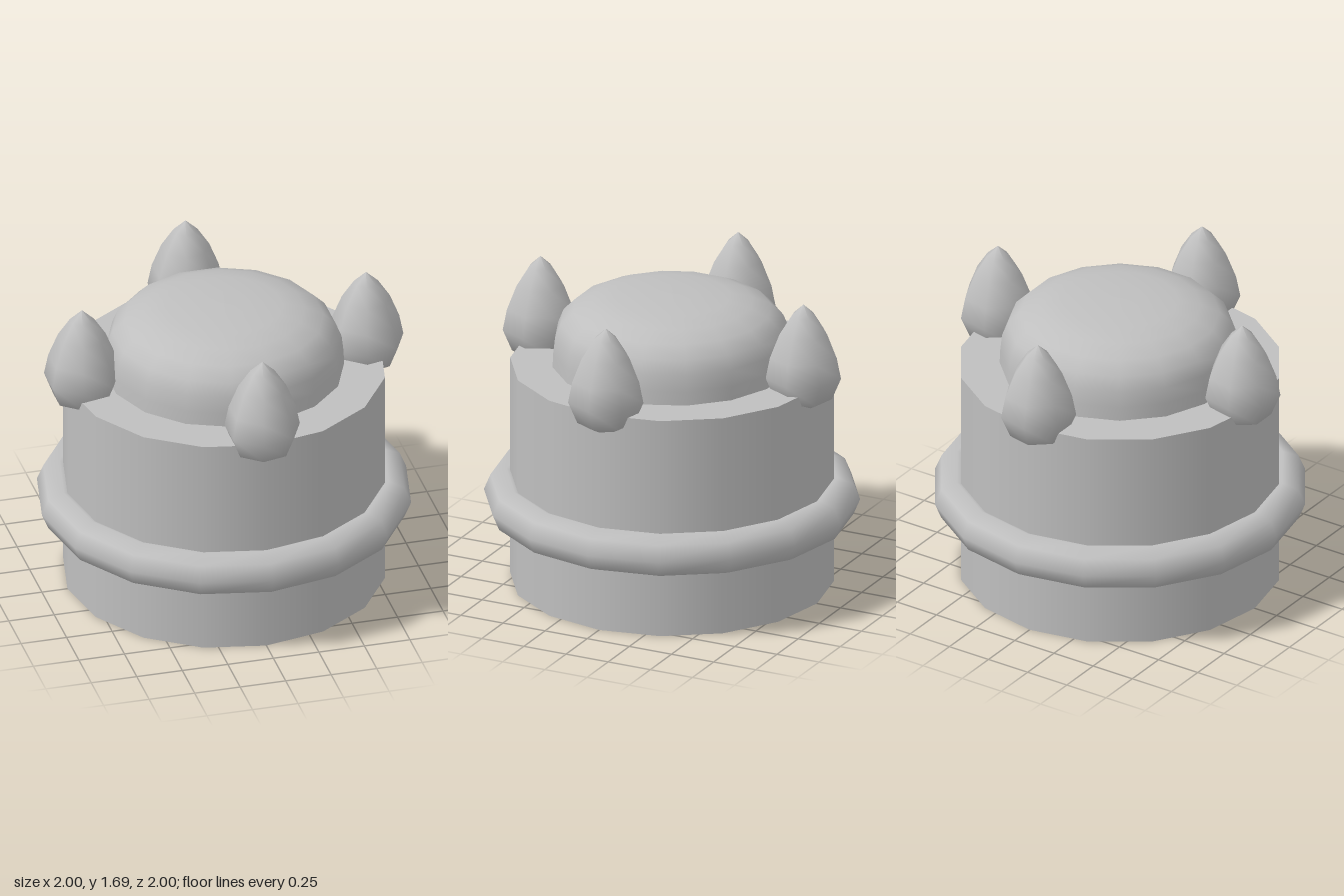
import * as THREE from 'three';

const grey = new THREE.MeshStandardMaterial({ color: 0xbfbfbf });
grey.name = 'grey';

function part(name, geometry, x = 0, y = 0, z = 0) {
  const mesh = new THREE.Mesh(geometry, grey);
  mesh.name = name;
  mesh.position.set(x, y, z);
  return mesh;
}

// Turned shape from [radius, height] pairs, listed from the bottom up
function turned(profile, sides, start) {
  const points = profile.map(([r, y]) => new THREE.Vector2(r, y));
  return new THREE.LatheGeometry(points, sides, start);
}

export function createModel() {
  const model = new THREE.Group();
  model.name = 'spikedDrum';

  // Drum body
  model.add(part('body', new THREE.CylinderGeometry(0.86, 0.86, 1.225, 16), 0, 0.6125, 0));

  // Round band about the body
  const band = new THREE.TorusGeometry(0.88, 0.12, 8, 16).rotateX(Math.PI / 2);
  model.add(part('band', band, 0, 0.471, 0));

  // Flattened dome on top
  const domeProfile = [
    [0.64, 1.18], [0.635, 1.3], [0.625, 1.39], [0.595, 1.465], [0.53, 1.53],
    [0.43, 1.575], [0.31, 1.602], [0.13, 1.612], [0, 1.615],
  ];
  model.add(part('dome', turned(domeProfile, 16, Math.PI / 16)));

  // Four teardrop spikes on the rim, all turned the same way
  const spikeProfile = [
    [0, 1.108], [0.06, 1.115], [0.155, 1.165], [0.205, 1.285],
    [0.182, 1.4], [0.13, 1.53], [0.065, 1.63], [0, 1.69],
  ];
  const spike = turned(spikeProfile, 7, Math.PI / 2);
  const spots = { left: [1, 0], right: [-1, 0], front: [0, 1], back: [0, -1] };
  for (const [side, [x, z]] of Object.entries(spots)) {
    model.add(part(side + 'Spike', spike, x * 0.78, 0, z * 0.78));
  }

  return model;
}
